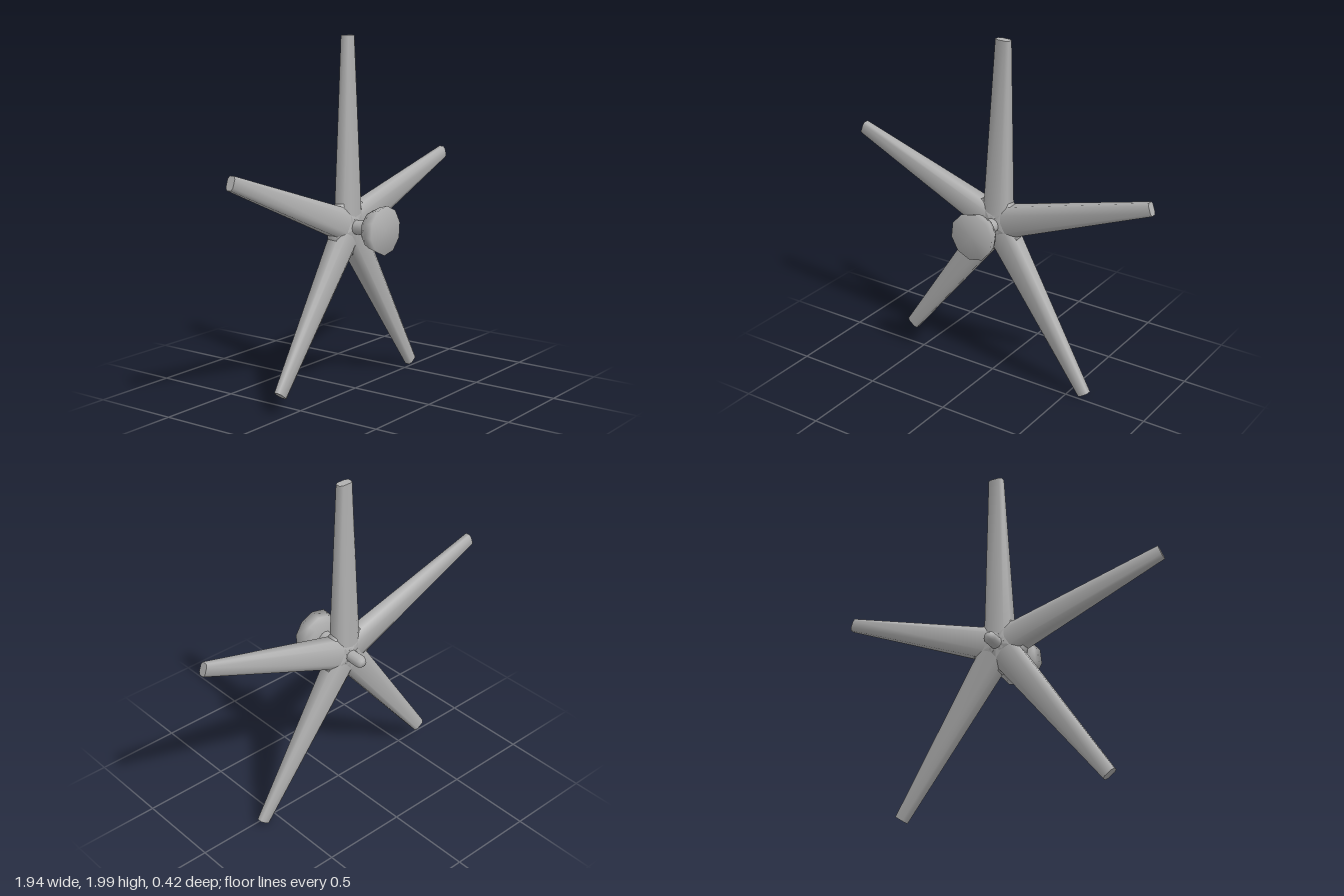
import * as THREE from 'three';
import { toCreasedNormals } from 'three/addons/utils/BufferGeometryUtils.js';

// Tapered arm with a chamfered-rectangle section, running along +y from the hub
function armGeometry(length, rootHalf, tipHalf) {
  const geo = new THREE.CylinderGeometry(1, 1, 1, 8, 1, false, Math.PI / 8);
  const pos = geo.attributes.position;
  const square = (s) => Math.sign(s) * Math.pow(Math.min(1, Math.abs(s) / 0.9239), 0.6);
  for (let i = 0; i < pos.count; i++) {
    const k = pos.getY(i) + 0.5;
    const w = THREE.MathUtils.lerp(rootHalf, tipHalf, k);
    const t = THREE.MathUtils.lerp(0.06, 0.024, k);
    pos.setXYZ(i, square(pos.getX(i)) * w, k * length, square(pos.getZ(i)) * t);
  }
  return toCreasedNormals(geo, 1.1);
}

// Turned part whose axis is z; profile points are [radius, z]
function turned(name, profile, sides, material) {
  const geo = new THREE.LatheGeometry(profile.map(([r, z]) => new THREE.Vector2(r, z)), sides);
  geo.rotateX(Math.PI / 2);
  const mesh = new THREE.Mesh(geo, material);
  mesh.name = name;
  return mesh;
}

export function createModel() {
  const model = new THREE.Group();
  model.name = 'fiveArmWheel';
  const grey = new THREE.MeshStandardMaterial({ color: 0xb0b0b0 });
  grey.name = 'grey';

  // The whole wheel leans very slightly
  const wheel = new THREE.Group();
  wheel.name = 'wheel';
  wheel.position.set(0.003, 0.938, -0.053);
  wheel.rotation.set(-0.015, -0.0155, 0);
  model.add(wheel);

  // Arms: tip offset from the hub, and half widths at root and tip
  const arms = [
    [0.02, 1.062, 0.083, 0.043],
    [0.955, 0.322, 0.094, 0.037],
    [0.6, -0.912, 0.09, 0.036],
    [-0.613, -0.83, 0.09, 0.039],
    [-0.958, 0.362, 0.09, 0.039],
  ];
  arms.forEach(([x, y, root, tip], i) => {
    const arm = new THREE.Mesh(armGeometry(Math.hypot(x, y), root, tip), grey);
    arm.name = `arm${i + 1}`;
    arm.rotation.z = Math.atan2(y, x) - Math.PI / 2;
    wheel.add(arm);
  });

  // Web that softens the joints between arms
  wheel.add(turned('hub', [[0, -0.058], [0.07, -0.056], [0.155, -0.03], [0.16, 0.03], [0.07, 0.056], [0, 0.058]], 20, grey));

  // Front shaft and flared knob
  wheel.add(turned('frontShaft', [[0.04, 0.04], [0.045, 0.18]], 12, grey));
  const knob = turned('knob', [[0, 0.165], [0.104, 0.168], [0.122, 0.205], [0.138, 0.26], [0, 0.261]], 10, grey);
  knob.rotation.z = THREE.MathUtils.degToRad(-6);
  wheel.add(knob);

  // Back shaft with a chamfered end
  wheel.add(turned('backShaft', [[0, -0.16], [0.022, -0.158], [0.036, -0.135], [0.036, -0.04]], 12, grey));

  return model;
}
